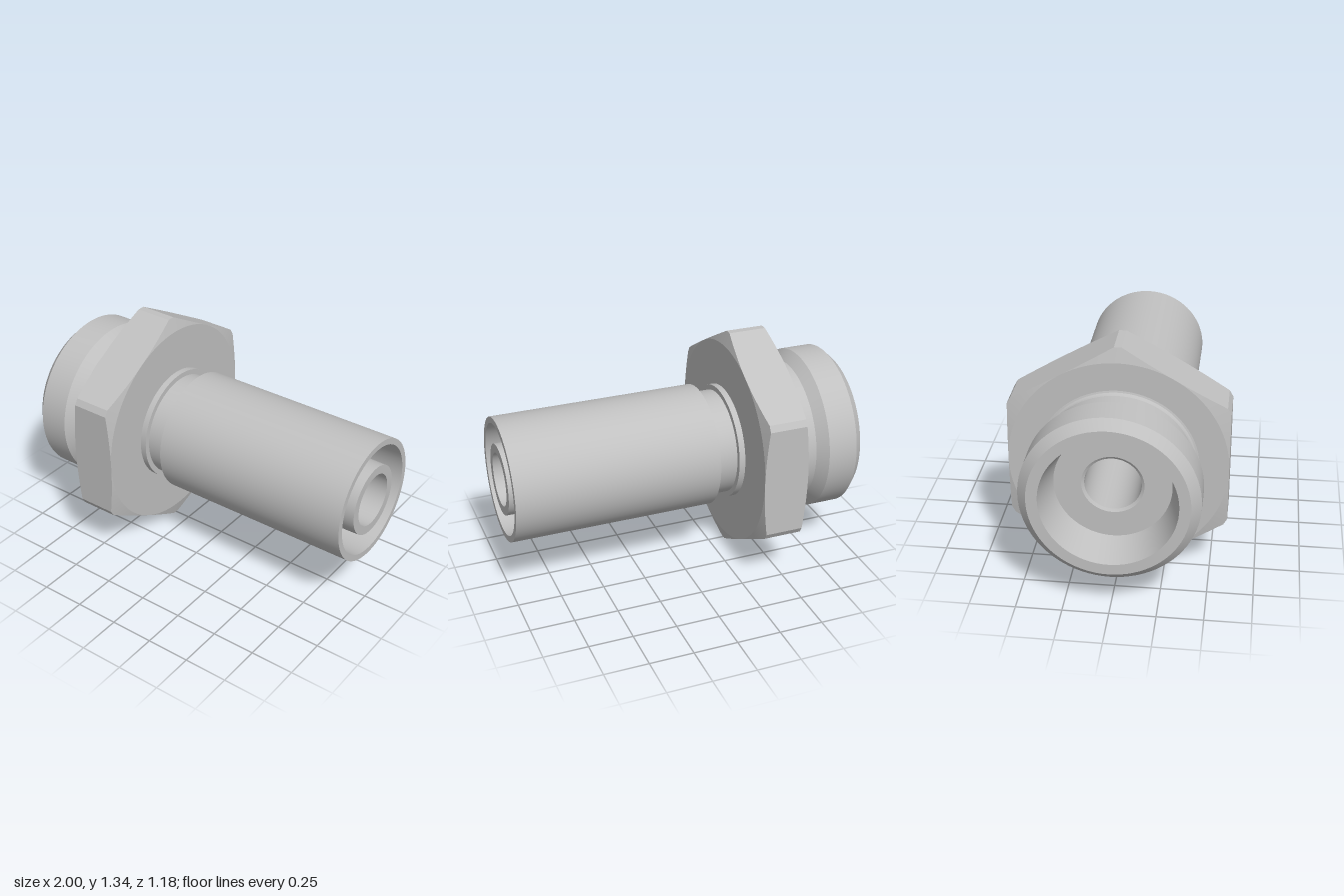
import * as THREE from 'three';
import { toCreasedNormals } from 'three/addons/utils/BufferGeometryUtils.js';

const AXIS_Y = 0.67;   // height of the fitting's axis
const CREASE = 0.2;

// Turned part: profile of [x along axis, radius], outside first, then back through the bore
function turned(name, profile, material) {
  const points = profile.map(([x, r]) => new THREE.Vector2(r, x));
  const geometry = new THREE.LatheGeometry(points, 80);
  geometry.rotateZ(-Math.PI / 2);
  const mesh = new THREE.Mesh(toCreasedNormals(geometry, CREASE), material);
  mesh.name = name;
  return mesh;
}

// Hexagon with a corner on top, its corners trimmed round and its faces chamfered by a cone
function hexGeometry(x0, x1, flat, corner, chamfer, hole) {
  const half = Math.acos(flat / corner);
  const steps = 16;
  const angles = [];
  for (let side = 0; side < 6; side++) {
    const mid = Math.PI / 6 + side * Math.PI / 3;
    for (let i = 0; i <= steps; i++) angles.push([mid, half * (2 * i / steps - 1)]);
  }
  const columns = angles.map(([mid, offset]) => {
    const r = Math.min(corner, flat / Math.cos(offset));
    const dx = chamfer * (r - flat) / (corner - flat);
    const a = mid + offset;
    return [[x0, hole], [x0, flat], [x0 + dx, r], [x1 - dx, r], [x1, flat], [x1, hole]]
      .map(([x, rad]) => [x, rad * Math.cos(a), rad * Math.sin(a)]);
  });
  const position = [];
  columns.forEach((c, i) => {
    const d = columns[(i + 1) % columns.length];
    for (let k = 0; k < c.length - 1; k++) {
      position.push(...c[k], ...d[k + 1], ...c[k + 1], ...c[k], ...d[k], ...d[k + 1]);
    }
  });
  const geometry = new THREE.BufferGeometry();
  geometry.setAttribute('position', new THREE.Float32BufferAttribute(position, 3));
  return toCreasedNormals(geometry, CREASE);
}

export function createModel() {
  const steel = new THREE.MeshStandardMaterial({ color: 0xc0c0c0 });
  steel.name = 'steel grey';

  const model = new THREE.Group();
  model.name = 'pipeFitting';
  const fitting = new THREE.Group();
  fitting.name = 'fitting';
  fitting.position.y = AXIS_Y;
  model.add(fitting);

  // Threaded end, neck, inner nipple and through bore
  fitting.add(turned('body', [
    [-1, 0.36], [-1, 0.42], [-0.95, 0.47], [-0.78, 0.47], [-0.725, 0.415],
    [-0.605, 0.415], [-0.595, 0.418], [-0.588, 0.425], [-0.585, 0.435],
    [-0.5, 0.435], [-0.4, 0.33], [-0.29, 0.33], [-0.29, 0.30], [-0.1, 0.30],
    [-0.1, 0.215], [1, 0.20], [1, 0.15], [-0.79, 0.15], [-0.8, 0.165],
    [-0.8, 0.31], [-1, 0.36],
  ], steel));

  // Wrench hexagon
  const hexagon = new THREE.Mesh(hexGeometry(-0.585, -0.325, 0.59, 0.67, 0.022, 0.28), steel);
  hexagon.name = 'hexagon';
  fitting.add(hexagon);

  // Outer crimp sleeve, slightly tapered inside
  fitting.add(turned('sleeve', [
    [-0.17, 0.29], [-0.17, 0.35], [1, 0.35], [1, 0.315], [-0.11, 0.297],
  ], steel));

  return model;
}
